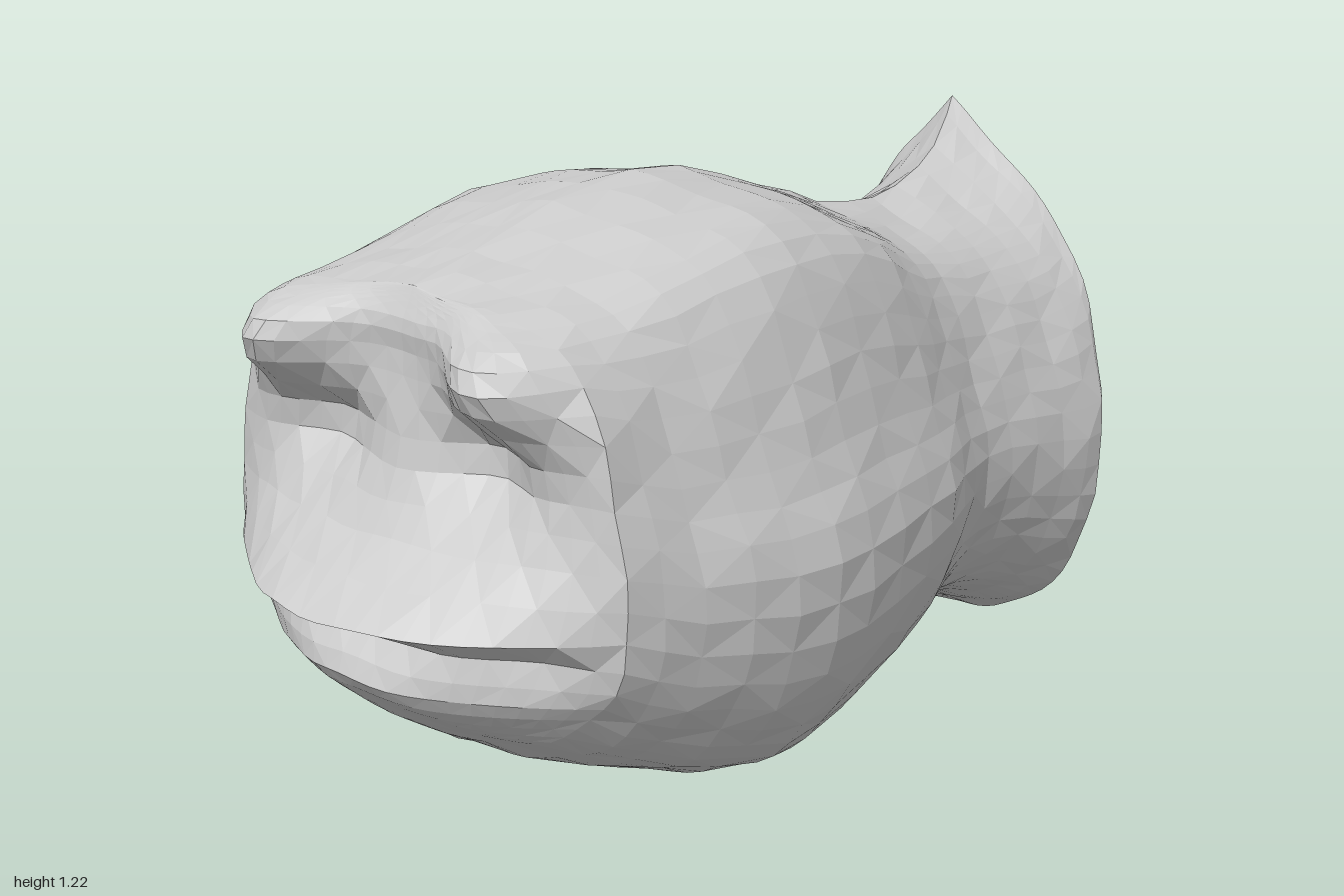
import * as THREE from 'three';

const HALF = 36;  // points down one side of a cross-section
const COLS = 22;  // columns across an end surface

// Half outlines, top to bottom: [width 0..1, height 0..1]
const sample = (pts) => new THREE.CatmullRomCurve3(
  pts.map(([u, v]) => new THREE.Vector3(u, v, 0))).getSpacedPoints(HALF);
const shapes = [
  // neck
  sample([[0, 1], [0.2, 0.94], [0.5, 0.85], [0.8, 0.7], [0.96, 0.54],
    [1, 0.4], [0.93, 0.25], [0.7, 0.1], [0.35, 0.02], [0, 0]]),
  // skull
  sample([[0, 1], [0.3, 0.978], [0.56, 0.945], [0.67, 0.9], [0.78, 0.78], [0.89, 0.61],
    [1, 0.47], [0.96, 0.28], [0.75, 0.1], [0.45, 0.03], [0, 0]]),
  // face
  sample([[0, 1], [0.4, 0.98], [0.72, 0.93], [0.86, 0.82], [0.94, 0.65],
    [1, 0.42], [0.96, 0.26], [0.75, 0.12], [0.42, 0.03], [0, 0]]),
];

// Stations from neck to face: z, bottom, top, half width, shape (0 neck, 1 skull, 2 face)
const stations = [
  [-1, 0.015, 1.18, 0.375, 0], [-0.96, 0, 1.145, 0.39, 0], [-0.88, 0.04, 1.095, 0.388, 0.1],
  [-0.8, 0.08, 1.06, 0.375, 0.25], [-0.7, 0.125, 1.04, 0.367, 0.4], [-0.6, 0.155, 1.03, 0.365, 0.5],
  [-0.5, 0.167, 1.04, 0.37, 0.6], [-0.4, 0.165, 1.06, 0.4, 0.7], [-0.3, 0.155, 1.095, 0.44, 0.8],
  [-0.2, 0.14, 1.13, 0.478, 0.9], [-0.08, 0.118, 1.17, 0.505, 1], [0.05, 0.097, 1.205, 0.53, 1],
  [0.18, 0.088, 1.22, 0.553, 1], [0.29, 0.1, 1.215, 0.56, 1], [0.4, 0.135, 1.2, 0.55, 1],
  [0.5, 0.178, 1.175, 0.533, 1.1], [0.6, 0.222, 1.15, 0.505, 1.3], [0.68, 0.262, 1.135, 0.485, 1.65],
  [0.75, 0.312, 1.12, 0.465, 2],
];

// Right-hand half of a station as [x, y] points
function halfSection([, bottom, top, width, shape]) {
  const from = Math.min(1, Math.floor(shape));
  return shapes[from].map((point, i) => {
    const p = point.clone().lerp(shapes[from + 1][i], shape - from);
    return [p.x * width, bottom + p.y * (top - bottom)];
  });
}

// Organic irregularity, by position only so that seams stay closed:
// the neck's peak leans to one side, the cut curves forward at its sides, and all is slightly uneven
function sculpt([x, y, z]) {
  const rear = Math.max(0, (-z - 0.6) / 0.4);
  const rim = Math.max(0, (-z - 0.92) / 0.08);
  return [
    x - 0.07 * rear * Math.max(0, (y - 0.85) / 0.33) + 0.003 * Math.sin(31 * y + 23 * z),
    y + 0.003 * Math.sin(29 * x + 37 * z),
    z + 0.045 * rim * (x / 0.375) ** 2,
  ];
}

// Mesh from rows of equal length; flip reverses the facing
function gridMesh(name, rows, flip) {
  const n = rows[0].length, index = [];
  for (let r = 0; r < rows.length - 1; r++) {
    for (let c = 0; c < n - 1; c++) {
      const a = r * n + c, b = a + 1, d = a + n, e = d + 1;
      // alternate the diagonals for a faceted, hand-cut look
      const tris = (r + c) % 2 ? [a, d, b, b, d, e] : [a, d, e, a, e, b];
      index.push(...(flip ? tris.reverse() : tris));
    }
  }
  const geo = new THREE.BufferGeometry();
  geo.setAttribute('position', new THREE.Float32BufferAttribute(rows.flat().map(sculpt).flat(), 3));
  geo.setIndex(index);
  geo.computeVertexNormals();
  const mesh = new THREE.Mesh(geo, new THREE.MeshStandardMaterial({ color: 0xcccccc, flatShading: true }));
  mesh.name = name;
  return mesh;
}

// End surface spanning a section from side to side, with depth(x, y, half width)
function endRows(station, depth) {
  return halfSection(station).map(([w, y]) => Array.from({ length: COLS + 1 }, (_, c) => {
    const x = w * (2 * c / COLS - 1);
    return [x, y, depth(x, y, w)];
  }));
}

// Midline of the face, chin to forehead: y, z
const profile = [[0.312, 0.75], [0.36, 0.82], [0.43, 0.9], [0.47, 0.93], [0.55, 0.945], [0.59, 1.005],
  [0.615, 1.005], [0.65, 0.93], [0.72, 0.85], [0.8, 0.81], [0.9, 0.79], [1, 0.77], [1.06, 0.78], [1.12, 0.75]];

function profileZ(y) {
  for (let i = 1; i < profile.length; i++) {
    const [y0, z0] = profile[i - 1], [y1, z1] = profile[i];
    if (y <= y1) return z0 + (z1 - z0) * Math.max(0, (y - y0) / (y1 - y0));
  }
  return 0.75;
}

const bump = (x, y, cx, cy, sx, sy) => Math.exp(-(((x - cx) / sx) ** 2) - ((y - cy) / sy) ** 2);

// Muzzle from the midline, plus paired brows, eye sockets, mouth and its corners
function faceDepth(x, y, w) {
  const k = w > 1e-4 ? Math.max(0, 1 - (x / w) ** 2) : 0;
  const ax = Math.abs(x);
  const detail = 0.19 * bump(ax, y, 0.28, 1.02, 0.13, y > 1.02 ? 0.09 : 0.11)
    - 0.08 * bump(ax, y, 0.19, 0.85, 0.1, 0.08)
    - 0.08 * bump(ax, y, 0, 0.535, 0.2, 0.035)
    - 0.05 * bump(ax, y, 0.33, 0.54, 0.1, 0.05);
  return 0.75 + (profileZ(y) - 0.75) * k + detail * Math.sqrt(k);
}

export function createModel() {
  const model = new THREE.Group();
  model.name = 'head';

  // Skull and neck: closed rings lofted from back to front
  const rings = stations.map((s) => {
    const half = halfSection(s).map(([x, y]) => [x, y, s[0]]);
    const mirrored = half.map(([x, y, z]) => [-x, y, z]).reverse().slice(1);
    return [...half, ...mirrored];
  });
  model.add(gridMesh('skullAndNeck', rings, false));

  // Face and neck cut
  const back = stations[0], front = stations[stations.length - 1];
  model.add(gridMesh('face', endRows(front, faceDepth), false));
  model.add(gridMesh('neckCut', endRows(back, () => back[0]), true));
  return model;
}
